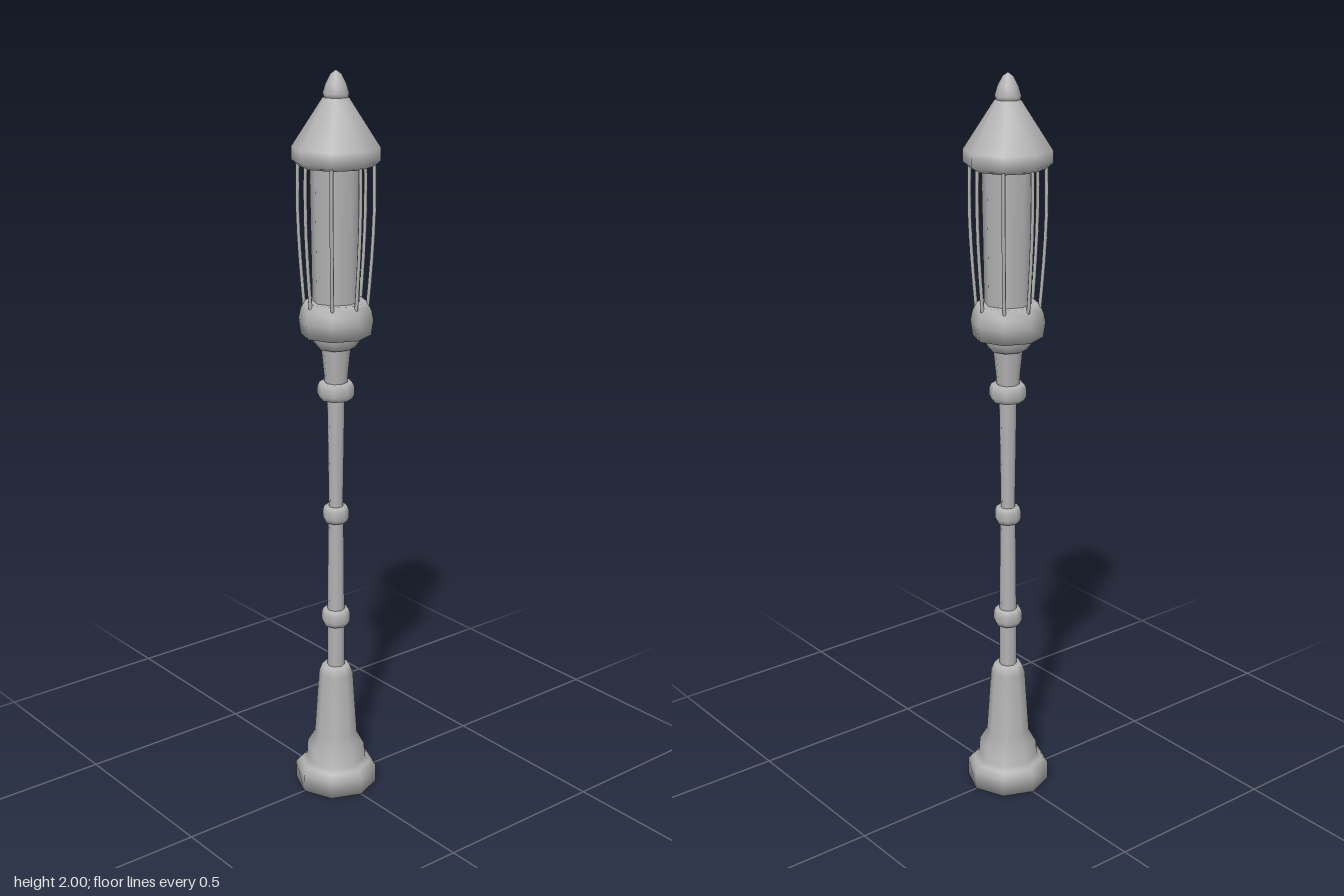
import * as THREE from 'three';

const SIDES = 8;

export function createModel() {
  const lamp = new THREE.Group();
  lamp.name = 'streetLamp';
  const metal = new THREE.MeshStandardMaterial({ color: 0xb3b3b3 });
  metal.name = 'grey metal';

  // Octagonal turned part; profile is [radius, height] from bottom to top
  function turned(name, profile) {
    const points = profile.map(([r, y]) => new THREE.Vector2(r, y));
    const mesh = new THREE.Mesh(new THREE.LatheGeometry(points, SIDES), metal);
    mesh.name = name;
    lamp.add(mesh);
  }

  // Rounded collar around the pole
  function ring(name, y, radius, height, inner) {
    const h = height / 2;
    turned(name, [
      [inner, y - h], [radius * 0.88, y - h], [radius, y - h * 0.45],
      [radius, y + h * 0.45], [radius * 0.88, y + h], [inner, y + h],
    ]);
  }

  // Foot and tapering pedestal
  turned('pedestal', [
    [0, 0], [0.115, 0], [0.115, 0.05], [0.1, 0.066], [0.083, 0.075],
    [0.081, 0.118], [0.06, 0.155], [0.048, 0.34], [0.038, 0.365], [0, 0.365],
  ]);

  // Pole sections and collars
  turned('lowerPole', [[0.024, 0.36], [0.024, 0.51]]);
  turned('middlePole', [[0.024, 0.51], [0.021, 0.82]]);
  turned('upperPole', [[0.019, 0.82], [0.024, 1.16]]);
  ring('lowerRing', 0.512, 0.04, 0.046, 0.022);
  ring('middleRing', 0.817, 0.036, 0.044, 0.019);
  ring('upperRing', 1.167, 0.05, 0.046, 0.022);

  // Flared neck and lantern seat
  turned('neck', [[0.03, 1.18], [0.033, 1.22], [0.04, 1.29]]);
  turned('neckCollar', [[0, 1.285], [0.05, 1.285], [0.065, 1.305], [0.065, 1.325]]);
  turned('lanternSeat', [
    [0, 1.32], [0.093, 1.32], [0.099, 1.36], [0.094, 1.385], [0.083, 1.41], [0, 1.41],
  ]);

  // Inner lantern body
  turned('lanternGlass', [[0.062, 1.4], [0.068, 1.77]]);

  // Thin bowed bars around the lantern
  for (let i = 0; i < SIDES; i++) {
    const a = (i / SIDES) * Math.PI * 2;
    const at = (r, y) => new THREE.Vector3(Math.sin(a) * r, y, Math.cos(a) * r);
    const path = new THREE.CatmullRomCurve3([at(0.083, 1.395), at(0.093, 1.52), at(0.099, 1.65), at(0.098, 1.77)]);
    const bar = new THREE.Mesh(new THREE.TubeGeometry(path, 6, 0.005, 6), metal);
    bar.name = 'lanternBar' + (i + 1);
    lamp.add(bar);
  }

  // Roof and finial
  turned('roof', [
    [0, 1.76], [0.096, 1.76], [0.115, 1.775], [0.115, 1.808], [0.034, 1.932], [0, 1.935],
  ]);
  turned('finial', [
    [0, 1.925], [0.03, 1.928], [0.034, 1.942], [0.027, 1.965], [0.014, 1.99], [0, 2],
  ]);

  return lamp;
}
